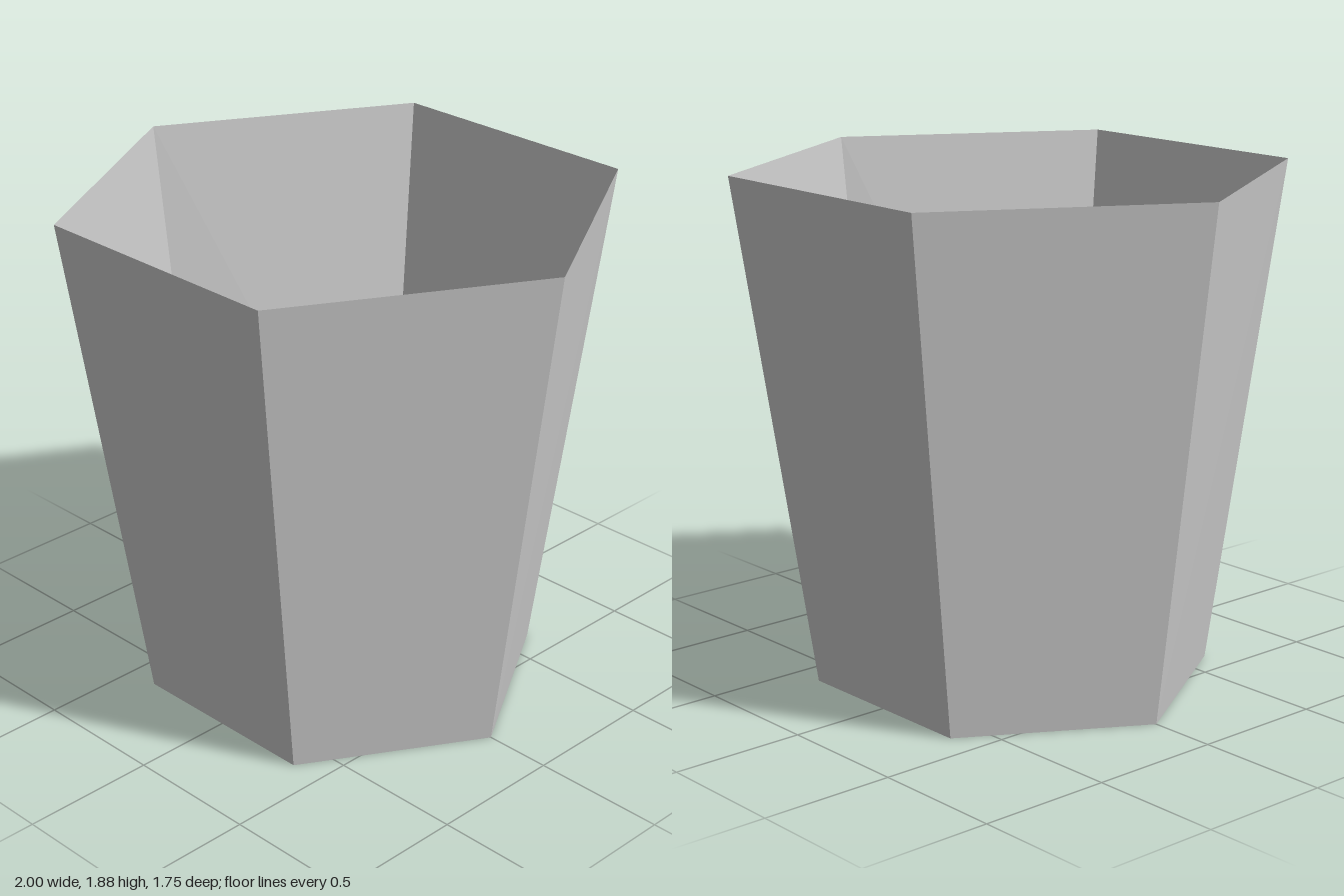
import * as THREE from 'three';

const HEIGHT = 1.875;
const TOP = { radius: 1, depth: 0.875 };      // corner on x, half depth on z
const BOTTOM = { radius: 0.75, depth: 0.625 };

// Depth factor that turns a regular hexagon into the wanted one
const squash = ({ radius, depth }) => depth / (radius * Math.sin(Math.PI / 3));

export function createModel() {
  const grey = new THREE.MeshStandardMaterial({ color: 0xcccccc, side: THREE.DoubleSide, flatShading: true });
  grey.name = 'light grey';
  const group = new THREE.Group();
  group.name = 'hexagonalBin';

  // Open, flaring six-sided wall with corners on the x axis
  const wallGeometry = new THREE.CylinderGeometry(TOP.radius, BOTTOM.radius, HEIGHT, 6, 1, true, Math.PI / 2);
  wallGeometry.translate(0, HEIGHT / 2, 0);
  const p = wallGeometry.attributes.position;
  for (let i = 0; i < p.count; i++) {
    p.setZ(i, p.getZ(i) * squash(p.getY(i) > HEIGHT / 2 ? TOP : BOTTOM));
  }
  const flatWall = wallGeometry.toNonIndexed();
  flatWall.computeVertexNormals();
  const wall = new THREE.Mesh(flatWall, grey);
  wall.name = 'wall';

  // Floor closing the bottom
  const floorGeometry = new THREE.CircleGeometry(BOTTOM.radius, 6);
  floorGeometry.rotateX(-Math.PI / 2).scale(1, 1, squash(BOTTOM));
  const floor = new THREE.Mesh(floorGeometry, grey);
  floor.name = 'floor';

  group.add(wall, floor);
  return group;
}
